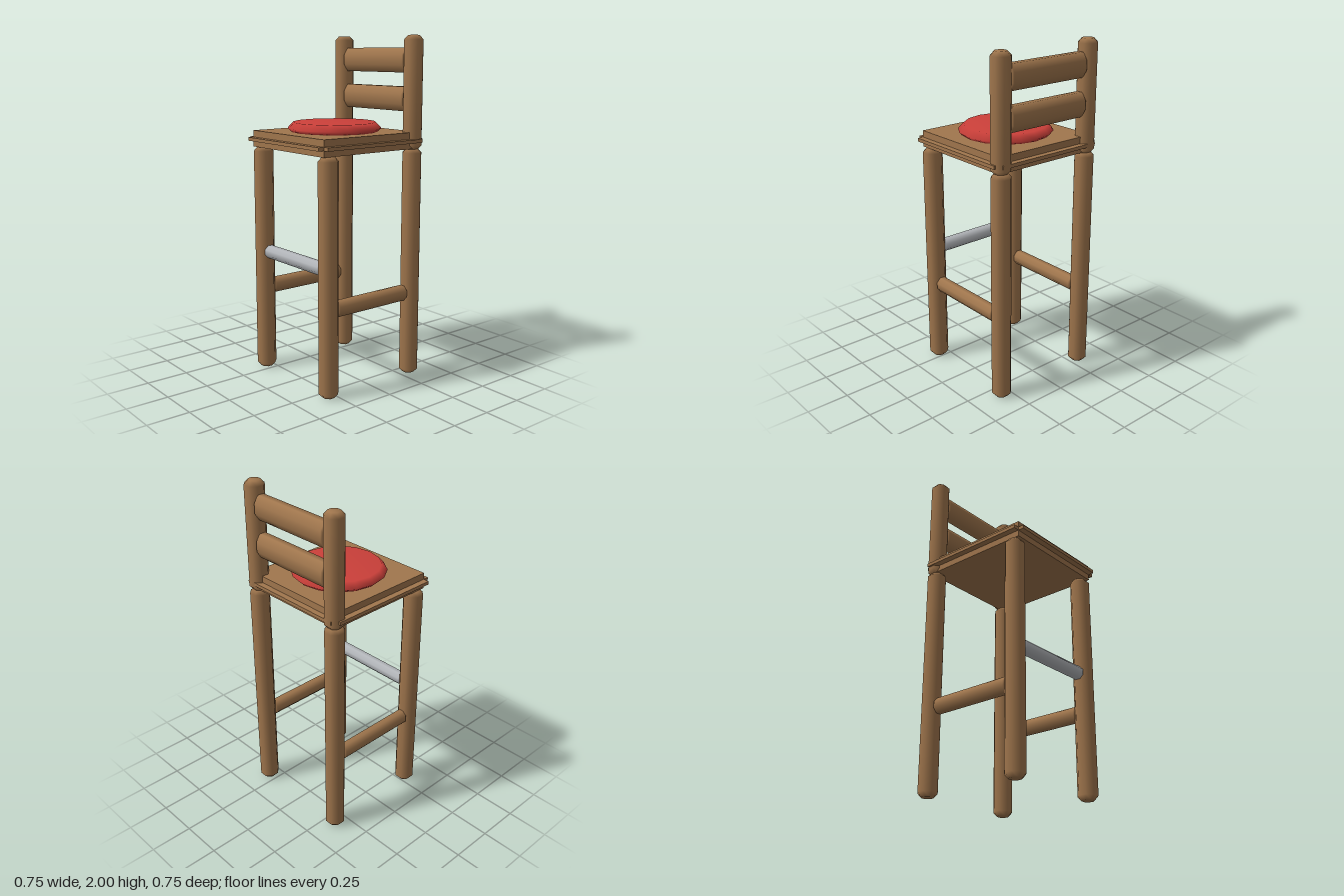
import * as THREE from 'three';

export function createModel() {
  const model = new THREE.Group();
  const mat = (name, color) => {
    const m = new THREE.MeshStandardMaterial({ color });
    m.name = name;
    return m;
  };
  const wood = mat('wood', 0xa0764d);
  const fabric = mat('red cushion', 0xcc403a);
  const metal = mat('metal', 0xb2b5b9);

  const add = (name, geometry, material, x = 0, y = 0, z = 0) => {
    const mesh = new THREE.Mesh(geometry, material);
    mesh.name = name;
    mesh.position.set(x, y, z);
    model.add(mesh);
    return mesh;
  };

  // Eight-sided bar along y with bevelled ends; hx and hz are half thicknesses
  const bar = (length, hx, hz, bevel, endScale) => {
    const h = length / 2;
    const profile = [[0, -h], [endScale, -h], [1, -h + bevel], [1, h - bevel], [endScale, h], [0, h]];
    const g = new THREE.LatheGeometry(profile.map(([r, y]) => new THREE.Vector2(r, y)), 8);
    const k = 1 / Math.cos(Math.PI / 8);
    return g.rotateY(Math.PI / 8).scale(hx * k, 1, hz * k);
  };

  // Legs, back posts and side rails, mirrored
  const px = 0.309, frontZ = 0.29, backZ = -0.324, half = 0.054;
  for (const [side, s] of [['left', 1], ['right', -1]]) {
    add(side + 'FrontLeg', bar(1.36, half, half, 0.025, 0.6), wood, s * px, 0.68, frontZ);
    add(side + 'BackLeg', bar(1.36, half, half, 0.025, 0.6), wood, s * px, 0.68, backZ);
    add(side + 'BackPost', bar(0.645, half, half, 0.025, 0.6), wood, s * px, 1.6775, backZ);
    add(side + 'SideRail', bar(0.525, 0.038, 0.044, 0.012, 0.75).rotateX(Math.PI / 2),
      wood, s * px, 0.505, -0.015);
  }

  // Backrest slats
  for (const y of [1.64, 1.86]) {
    add('backSlat', bar(0.54, 0.07, 0.045, 0.012, 0.8).rotateZ(Math.PI / 2), wood, 0, y, -0.325);
  }

  // Front foot bar
  add('footBar', bar(0.535, 0.037, 0.037, 0.012, 0.75).rotateZ(Math.PI / 2), metal, 0, 0.732, frontZ);

  // Seat slab with a thin trim strip on all four sides
  add('seat', new THREE.BoxGeometry(0.675, 0.095, 0.684), wood, 0, 1.4075, -0.001);
  for (const s of [1, -1]) {
    add('seatSideTrim', new THREE.BoxGeometry(0.036, 0.02, 0.684), wood, s * 0.3555, 1.406, -0.001);
    add('seatEndTrim', new THREE.BoxGeometry(0.675, 0.02, 0.036), wood, 0, 1.406, s * 0.359 - 0.001);
  }

  // Sixteen-sided round cushion
  const cushion = [[0, 1.455], [0.25, 1.455], [0.273, 1.475], [0.24, 1.51], [0, 1.51]];
  add('cushion', new THREE.LatheGeometry(cushion.map(([r, y]) => new THREE.Vector2(r, y)), 16), fabric, 0, 0, 0.002);

  return model;
}
